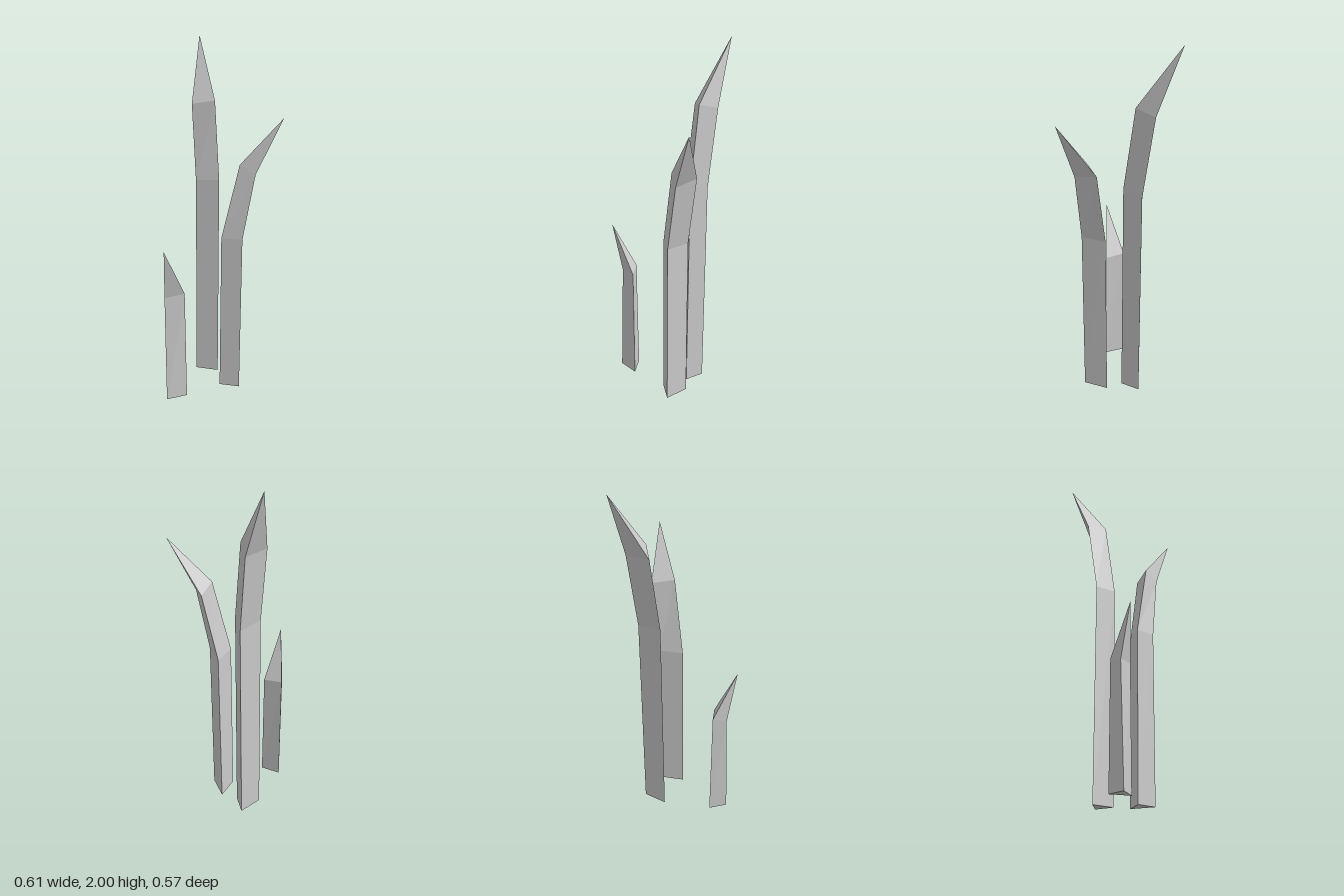
import * as THREE from 'three';

// Each blade: triangular rings (counter-clockwise from above) from base to shoulder, then a point.
const BLADES = [
  {
    name: 'tallBlade',
    rings: [
      [[-0.155, 0, -0.1], [-0.04, 0, -0.17], [-0.13, 0, -0.238]],
      [[-0.155, 1.235, -0.1], [-0.042, 1.245, -0.17], [-0.13, 1.22, -0.238]],
      [[-0.21, 1.655, -0.125], [-0.097, 1.68, -0.19], [-0.185, 1.65, -0.264]],
    ],
    tip: [-0.308, 2, -0.284],
  },
  {
    name: 'middleBlade',
    rings: [
      [[0.073, 0, -0.068], [0.172, 0, -0.132], [0.05, 0, -0.202]],
      [[0.076, 0.96, -0.066], [0.175, 0.96, -0.13], [0.055, 0.96, -0.2]],
      [[0.14, 1.38, -0.135], [0.21, 1.33, -0.185], [0.105, 1.355, -0.26]],
    ],
    tip: [0.305, 1.635, -0.288],
  },
  {
    name: 'shortBlade',
    rings: [
      [[-0.04, 0, 0.26], [0.012, 0, 0.148], [-0.102, 0, 0.172]],
      [[-0.055, 0.655, 0.248], [0.007, 0.67, 0.153], [-0.1, 0.68, 0.18]],
    ],
    tip: [-0.01, 0.96, 0.287],
  },
];

function bladeGeometry({ rings, tip }) {
  const points = [];
  const tri = (a, b, c) => points.push(...a, ...b, ...c);
  // Sides between neighbouring rings
  for (let r = 0; r + 1 < rings.length; r++) {
    for (let i = 0; i < 3; i++) {
      const j = (i + 1) % 3;
      const low = rings[r], high = rings[r + 1];
      tri(low[i], low[j], high[j]);
      tri(low[i], high[j], high[i]);
    }
  }
  // Pointed end and base cap
  const top = rings[rings.length - 1];
  for (let i = 0; i < 3; i++) tri(top[i], top[(i + 1) % 3], tip);
  tri(rings[0][2], rings[0][1], rings[0][0]);

  const geometry = new THREE.BufferGeometry();
  geometry.setAttribute('position', new THREE.Float32BufferAttribute(points, 3));
  geometry.computeVertexNormals();
  return geometry;
}

export function createModel() {
  const group = new THREE.Group();
  group.name = 'grassTuft';
  const material = new THREE.MeshStandardMaterial({ color: 0xcccccc, flatShading: true });
  for (const blade of BLADES) {
    const mesh = new THREE.Mesh(bladeGeometry(blade), material);
    mesh.name = blade.name;
    group.add(mesh);
  }
  return group;
}
